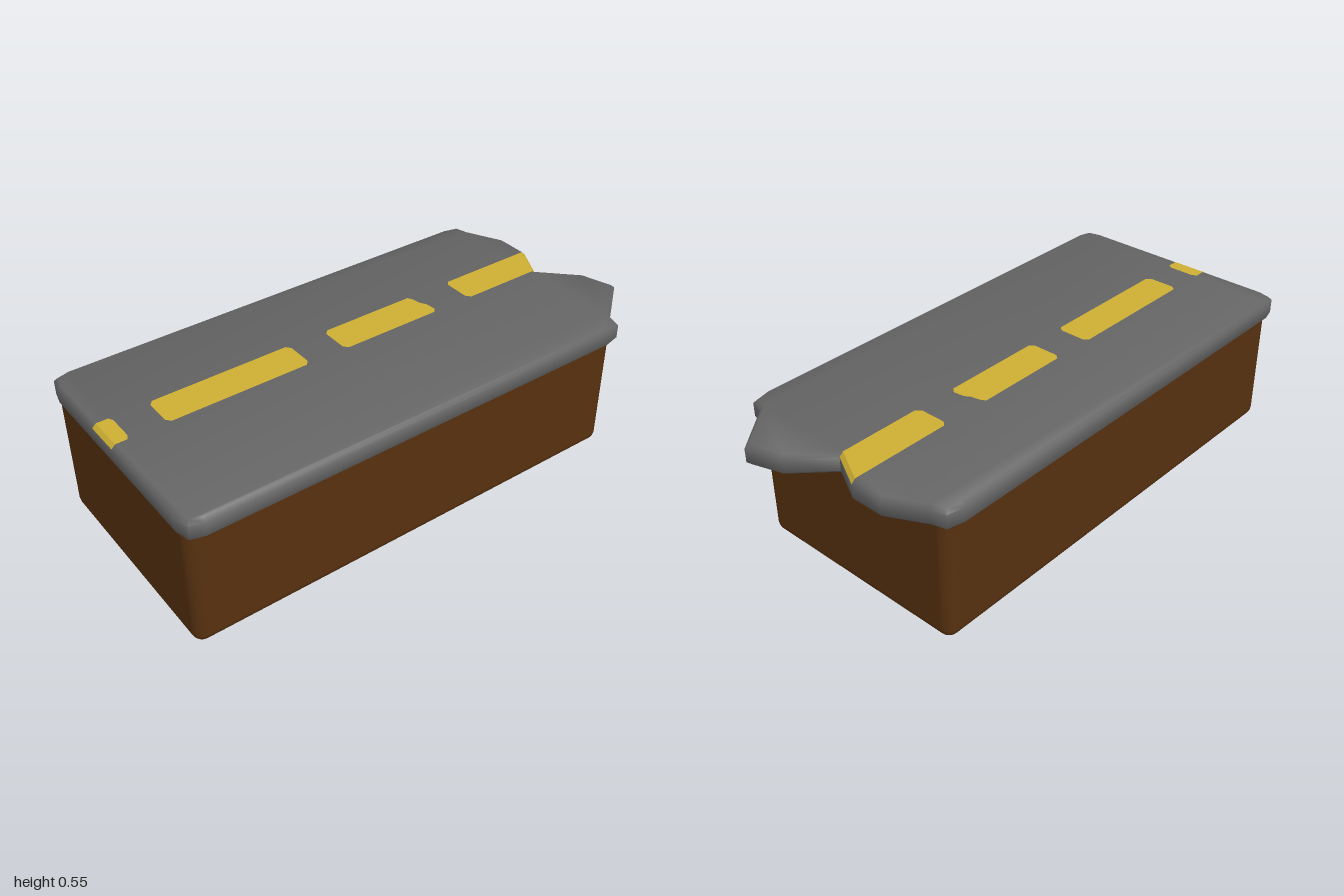
import * as THREE from 'three';
import { toCreasedNormals } from 'three/addons/utils/BufferGeometryUtils.js';
import { RoundedBoxGeometry } from 'three/addons/geometries/RoundedBoxGeometry.js';

const asphalt = new THREE.MeshStandardMaterial({ color: 0x646464 });
const earth = new THREE.MeshStandardMaterial({ color: 0x56300f });
const paint = new THREE.MeshStandardMaterial({ color: 0xcdae32, side: THREE.DoubleSide });

const TOP = 0.55, BOTTOM = 0.47, BEVEL = 0.014;

// Shape from [x, z] points; shape y becomes -z once laid flat
const planShape = pts => new THREE.Shape(pts.map(([x, z]) => new THREE.Vector2(x, -z)));

export function createModel() {
  const group = new THREE.Group();
  const add = (name, geometry, material) => {
    const mesh = new THREE.Mesh(geometry, material);
    mesh.name = name;
    group.add(mesh);
    return mesh;
  };

  // Earth block under the road
  add('earthBlock', new RoundedBoxGeometry(0.88, 0.5, 1.8, 3, 0.04), earth).position.set(0, 0.253, 0.09);

  // Road slab with a broken back edge
  const outline = [
    [-0.47, 0.93], [-0.455, 0.985], [-0.4, 0.998], [0.4, 0.998], [0.455, 0.985], [0.47, 0.93],
    [0.47, -0.75], [0.455, -0.815], [0.4, -0.83], [0.26, -1], [0.13, -0.96], [0, -0.83],
    [-0.135, -0.9], [-0.26, -0.9], [-0.4, -0.83], [-0.455, -0.815], [-0.47, -0.75],
  ];
  const slab = new THREE.ExtrudeGeometry(planShape(outline), {
    depth: TOP - BOTTOM - 2 * BEVEL, bevelThickness: BEVEL, bevelSize: BEVEL,
    bevelOffset: -BEVEL, bevelSegments: 1,
  });
  slab.rotateX(-Math.PI / 2).translate(0, BOTTOM + BEVEL, 0);
  add('roadSlab', toCreasedNormals(slab, 0.9), asphalt);

  // Painted centre dashes, just above the road
  const L = -0.135, R = 0, c = 0.018;
  const dash = (name, pts) =>
    add(name, new THREE.ShapeGeometry(planShape(pts)).rotateX(-Math.PI / 2).translate(0, TOP + 0.001, 0), paint);
  const backL = -0.9 + BEVEL * 1.1, backR = -0.83 + BEVEL * 1.1, front = 0.998 - BEVEL;
  dash('frontDash', [[L, front], [R, front], [R, 0.94], [R - c, 0.93], [L + c, 0.93], [L, 0.94]]);
  dash('longDash', [[L, 0.78], [L + c, 0.795], [R - c, 0.795], [R, 0.78],
    [R, 0.25], [R - c, 0.235], [L + c, 0.235], [L, 0.25]]);
  dash('middleDash', [[L, 0.07], [L + c, 0.085], [R - c, 0.085], [R, 0.07],
    [R, -0.32], [R - c, -0.335], [-0.06, -0.33], [-0.08, -0.317], [L + c, -0.31], [L, -0.3]]);
  dash('backDash', [[L, -0.5], [L + c, -0.485], [R - c, -0.485], [R, -0.5], [R, backR], [L, backL]]);

  // Paint running down the bevelled ends of the slab
  const lip = (name, inner, outer) => {
    const at = (x, z, y) => new THREE.Vector3(x, y + 0.001, z);
    const corners = [at(L, inner[0], TOP), at(R, inner[1], TOP),
      at(R, outer[1], TOP - BEVEL), at(L, outer[0], TOP - BEVEL)];
    const geometry = new THREE.BufferGeometry().setFromPoints(corners);
    geometry.setIndex(outer[0] > inner[0] ? [0, 2, 1, 0, 3, 2] : [0, 1, 2, 0, 2, 3]);
    geometry.computeVertexNormals();
    add(name, geometry, paint);
  };
  lip('frontDashLip', [front, front], [0.998, 0.998]);
  lip('backDashLip', [backL, backR], [-0.9, -0.83]);

  return group;
}
